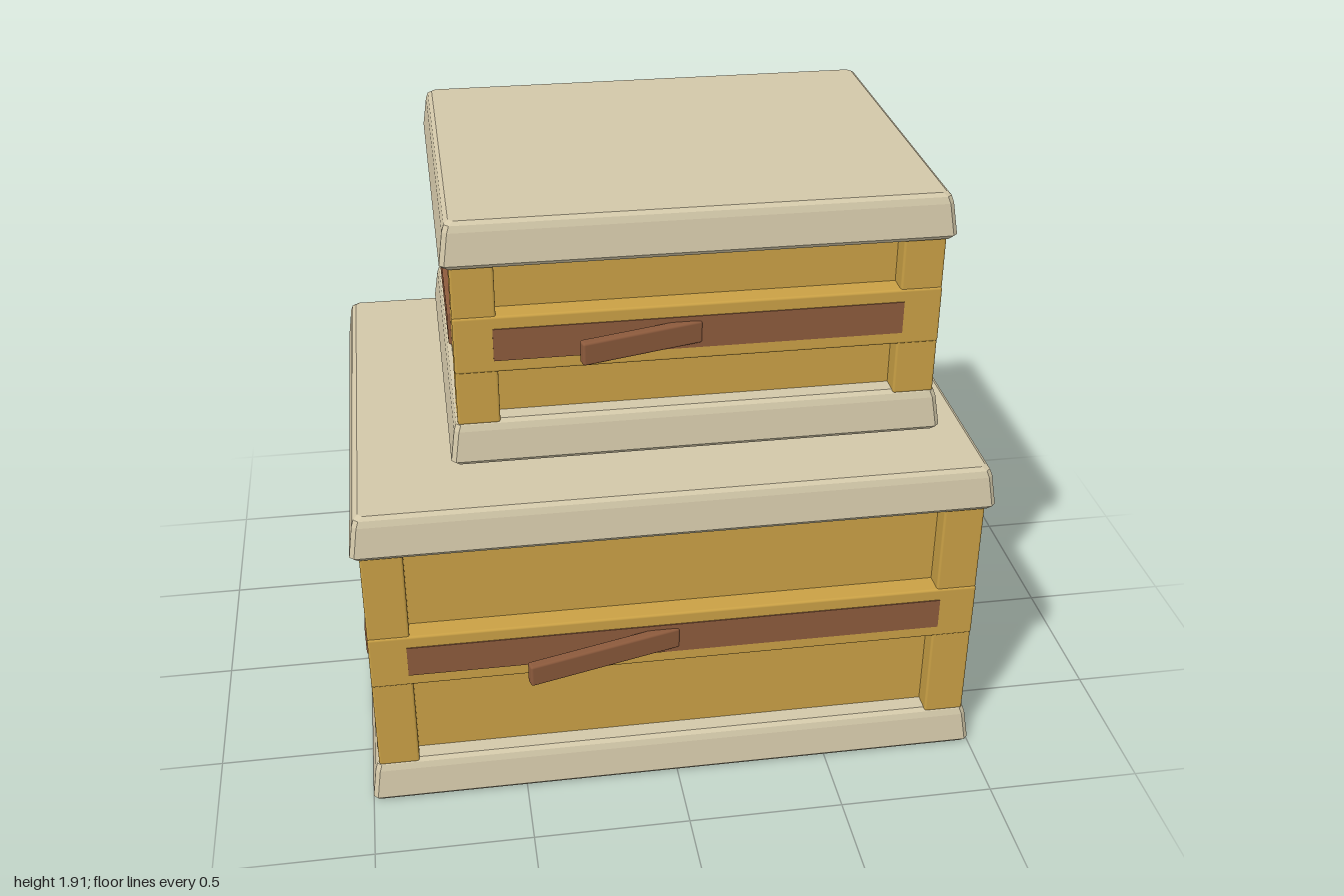
import * as THREE from 'three';
import { RoundedBoxGeometry } from 'three/addons/geometries/RoundedBoxGeometry.js';

const stone = new THREE.MeshStandardMaterial({ color: 0xd2c7a8 });
stone.name = 'pale board';
const wood = new THREE.MeshStandardMaterial({ color: 0xc9a045 });
wood.name = 'golden wood';
const leather = new THREE.MeshStandardMaterial({ color: 0x8c5a3c });
leather.name = 'brown strap';

function add(parent, name, geometry, material, x, y, z) {
  const mesh = new THREE.Mesh(geometry, material);
  mesh.name = name;
  mesh.position.set(x, y, z);
  parent.add(mesh);
  return mesh;
}

// Box with small bevelled edges
const bevelBox = (w, h, d, r = 0.008) => new RoundedBoxGeometry(w, h, d, 2, r);

// Tapered board: chamfered rectangles of half size hx by hz, stacked upward and capped
function boardGeometry(hx, hz, h) {
  const levels = [[0.012, 0], [0, 0.014], [0.014, h - 0.03], [0.021, h - 0.01], [0.034, h]];
  const cut = 0.014;
  const rings = levels.map(([inset, y]) => {
    const x = hx - inset, z = hz - inset;
    return [[x, z - cut], [x, cut - z], [x - cut, -z], [cut - x, -z],
      [-x, cut - z], [-x, z - cut], [cut - x, z], [x - cut, z]].map(([px, pz]) => [px, y, pz]);
  });
  const pos = [];
  const tri = (a, b, c) => pos.push(...a, ...b, ...c);
  for (let i = 0; i < rings.length - 1; i++) {
    for (let j = 0; j < 8; j++) {
      const k = (j + 1) % 8, lo = rings[i], hi = rings[i + 1];
      tri(lo[j], lo[k], hi[k]);
      tri(lo[j], hi[k], hi[j]);
    }
  }
  const bottom = rings[0], top = rings[rings.length - 1];
  for (let j = 1; j < 7; j++) {
    tri(top[0], top[j], top[j + 1]);
    tri(bottom[0], bottom[j + 1], bottom[j]);
  }
  const g = new THREE.BufferGeometry();
  g.setAttribute('position', new THREE.Float32BufferAttribute(pos, 3));
  g.computeVertexNormals();
  return g;
}

// hx, hz: half size of the boards; h: full height; handle: x of its inner and outer ends
function crate(name, { hx, hz, h, railY, handle }) {
  const g = new THREE.Group();
  g.name = name;
  const slab = 0.142, post = 0.13;
  const px = hx - 0.027, pz = hz - 0.022; // outer faces of the posts
  const bodyH = h - 2 * slab + 0.02, midY = h / 2;

  const board = boardGeometry(hx, hz, slab);
  add(g, 'baseBoard', board, stone, 0, 0, 0);
  add(g, 'lidBoard', board, stone, 0, h - slab, 0);
  add(g, 'panels', new THREE.BoxGeometry(2 * (px - 0.05), bodyH, 2 * (pz - 0.065)), wood, 0, midY, 0);

  for (const sx of [-1, 1]) {
    for (const sz of [-1, 1]) {
      add(g, 'cornerPost', bevelBox(post, bodyH, post), wood,
        sx * (px - post / 2), midY, sz * (pz - post / 2));
    }
    // strap across each end
    add(g, 'endStrap', bevelBox(0.08, 0.108, 2 * (pz - post + 0.013)), leather,
      sx * (px - 0.03), railY, 0);
  }

  for (const sz of [-1, 1]) {
    // cross rail and the strap lying on it
    add(g, 'crossRail', bevelBox(2 * px, 0.185, 0.1), wood, 0, railY, sz * (pz - 0.045));
    add(g, 'longStrap', new THREE.BoxGeometry(2 * (px - post + 0.012), 0.105, 0.009), leather,
      0, railY, sz * (pz + 0.004));
    // loose strap end, swung out from the face
    const [inner, outer] = handle, angle = Math.PI / 12;
    const length = (inner - outer) / Math.cos(angle);
    add(g, 'strapEnd', bevelBox(length, 0.074, 0.034), leather,
      (inner + outer) / 2, railY, sz * (pz - 0.005 + length / 2 * Math.sin(angle)))
      .rotation.y = sz * angle;
  }
  return g;
}

export function createModel() {
  const model = new THREE.Group();
  model.name = 'stackedCrates';
  const lower = crate('lowerCrate', { hx: 1, hz: 0.762, h: 1.08, railY: 0.543, handle: [0, -0.485] });
  const upper = crate('upperCrate', { hx: 0.774, hz: 0.611, h: 0.8, railY: 0.402, handle: [0, -0.375] });
  upper.position.set(0.099, 1.106, -0.081);
  model.add(lower, upper);
  return model;
}
